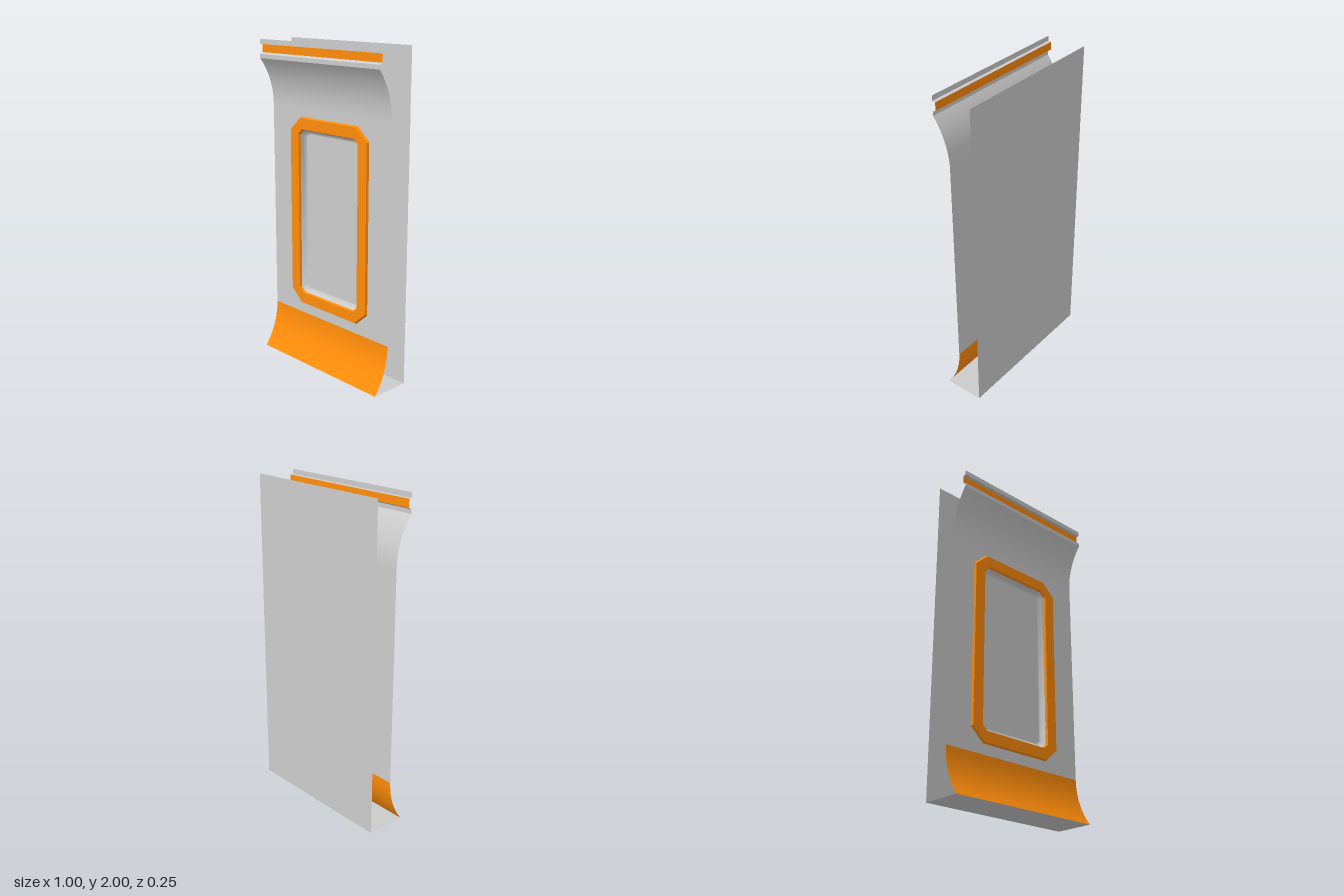
import * as THREE from 'three';
import { toCreasedNormals } from 'three/addons/utils/BufferGeometryUtils.js';

const grey = new THREE.MeshStandardMaterial({ color: 0xcccccc, side: THREE.DoubleSide });
const orange = new THREE.MeshStandardMaterial({ color: 0xff8c0a, side: THREE.DoubleSide });

const HALF = 0.5;    // half width of the panel
const FRONT = 0.125; // foremost and rearmost depth
const WALL = 0.025;  // depth of the flat front wall

// Stitches equally long rows of [x, y, z] points into one surface
function loft(rows, crease = 0.5) {
  const n = rows[0].length;
  const index = [];
  for (let r = 0; r < rows.length - 1; r++) {
    for (let i = 0; i < n - 1; i++) {
      const a = r * n + i, b = a + n;
      index.push(a, a + 1, b + 1, a, b + 1, b);
    }
  }
  const g = new THREE.BufferGeometry();
  g.setAttribute('position', new THREE.Float32BufferAttribute(rows.flat(2), 3));
  g.setIndex(index);
  return toCreasedNormals(g, crease);
}

// Sheet across the full width following a [y, z] profile, bottom to top
const sheet = (profile) =>
  loft(profile.map(([y, z]) => [[-HALF, y, z], [HALF, y, z]]));

// Rectangle with cut corners, centred on the window
const MID = 0.9475;
function octagon(w, h, cx, cy) {
  const corner = [[w, h - cy], [w - cx, h]];
  const quarter = (sx, sy) => corner.map(([x, y]) => [sx * x, MID + sy * y]);
  return [
    ...quarter(1, 1), ...quarter(-1, 1).reverse(),
    ...quarter(-1, -1), ...quarter(1, -1).reverse(),
  ];
}
const ring = (outline, z) => [...outline, outline[0]].map(([x, y]) => [x, y, z]);
const toVectors = (outline) => outline.map(([x, y]) => new THREE.Vector2(x, y));

// Circular flare from the flat wall (t = 0) out to the front edge (t = 1)
function flare(yWall, yEdge, zEdge, steps = 12) {
  const len = Math.abs(yEdge - yWall), depth = zEdge - WALL;
  const radius = (len * len + depth * depth) / (2 * depth);
  const sweep = Math.asin(len / radius);
  return Array.from({ length: steps + 1 }, (_, i) => {
    const a = sweep * i / steps;
    return [yWall + Math.sign(yEdge - yWall) * radius * Math.sin(a), WALL + radius * (1 - Math.cos(a))];
  });
}

export function createModel() {
  const group = new THREE.Group();
  const add = (name, geometry, material) => {
    const mesh = new THREE.Mesh(geometry, material);
    mesh.name = name;
    group.add(mesh);
    return mesh;
  };

  // Back and underside
  add('backPanel', sheet([[2, -FRONT], [0, -FRONT]]), grey);
  add('bottomPanel', sheet([[0, -FRONT], [0, FRONT]]), grey);

  // Curved skirting and upper cove
  add('skirting', sheet(flare(0.285, 0, FRONT).reverse()), orange);
  add('upperCove', sheet(flare(1.6, 1.885, FRONT)), grey);

  // Top rail: two lips with a coloured groove between
  add('lowerLip', sheet([[1.885, FRONT], [1.91, FRONT], [1.92, 0.105]]), grey);
  add('grooveStripe', sheet([[1.92, 0.105], [1.968, 0.105]]), orange);
  add('upperLip', sheet([[1.968, 0.105], [1.97, FRONT], [2, FRONT]]), grey);

  // Flat wall with the window opening
  const opening = octagon(0.248, 0.52, 0.03, 0.03);
  const wall = new THREE.Shape(toVectors([[-HALF, 0.285], [HALF, 0.285], [HALF, 1.6], [-HALF, 1.6]]));
  wall.holes.push(new THREE.Path(toVectors(opening)));
  add('frontWall', new THREE.ShapeGeometry(wall), grey).position.z = WALL;

  // Raised frame with bevelled rims
  add('windowFrame', loft([
    ring(octagon(0.332, 0.599, 0.09, 0.08), WALL),
    ring(octagon(0.325, 0.592, 0.088, 0.078), 0.038),
    ring(octagon(0.255, 0.525, 0.031, 0.031), 0.038),
    ring(opening, WALL),
  ], 0.4), orange);

  // Recessed tray with rounded sides
  const floor = octagon(0.222, 0.494, 0.022, 0.022);
  add('recessSides', loft([
    ring(opening, WALL),
    ring(octagon(0.24, 0.512, 0.028, 0.028), 0.01),
    ring(octagon(0.232, 0.504, 0.025, 0.025), 0),
    ring(floor, -0.004),
  ], 0.7), grey);
  add('recessFloor', new THREE.ShapeGeometry(new THREE.Shape(toVectors(floor))), grey).position.z = -0.004;

  return group;
}
